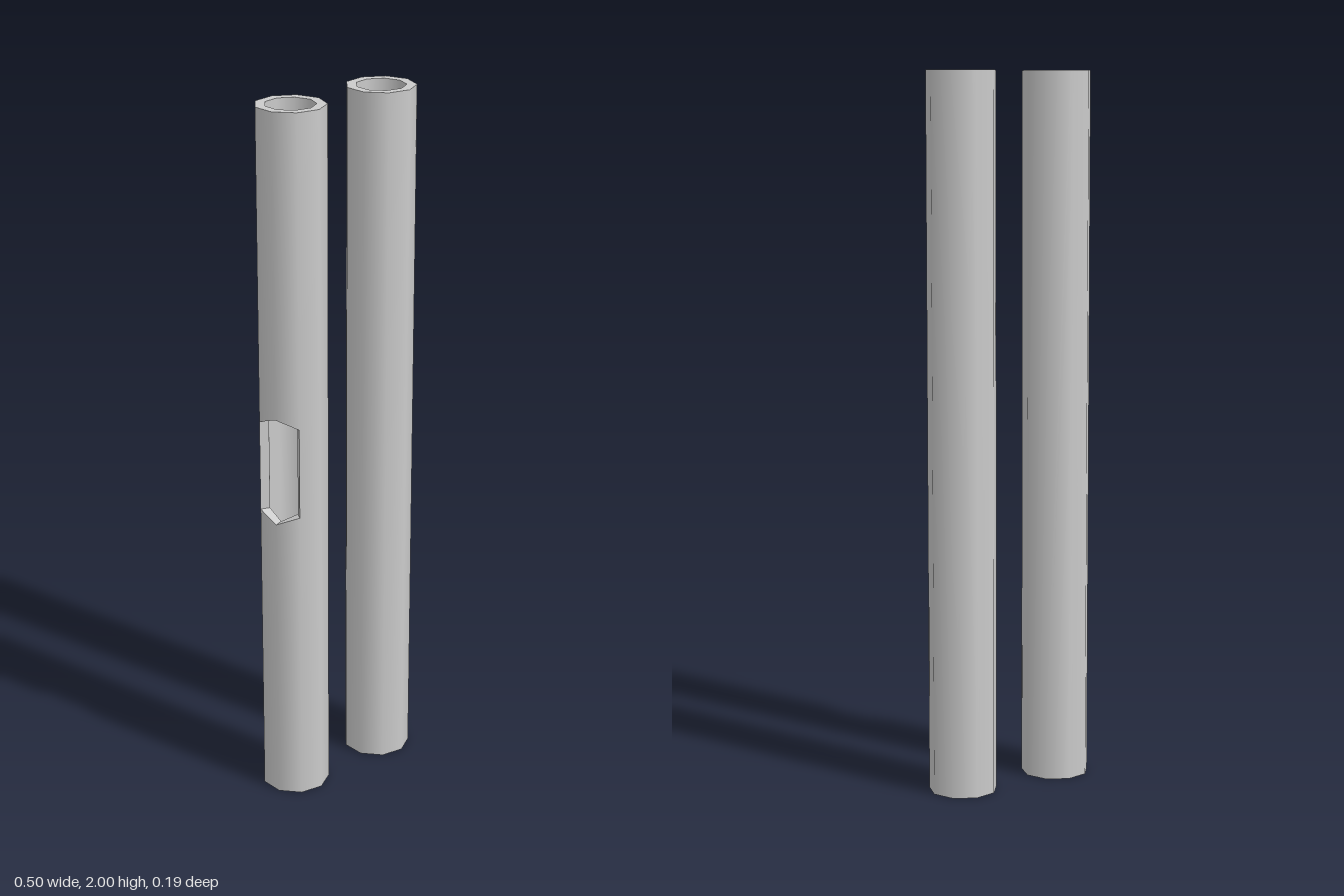
import * as THREE from 'three';

const SIDES = 9, OUTER = 0.0965, INNER = 0.069, HEIGHT = 2;

// Nine-sided pipe; an optional window is centred on one corner column.
function pipeGeometry(windowCorner = -1) {
  const pos = [], nor = [];
  const at = (r, i, y) => {
    const a = (i / SIDES) * Math.PI * 2;
    return new THREE.Vector3(r * Math.cos(a), y, r * Math.sin(a));
  };
  // smooth = 1 outward radial normals, -1 inward, 0 flat
  const quad = (corners, smooth = 0) => {
    const [a, b, c] = corners;
    const flat = b.clone().sub(a).cross(c.clone().sub(a)).normalize();
    for (const k of [0, 1, 2, 0, 2, 3]) {
      const p = corners[k];
      const n = smooth ? new THREE.Vector3(p.x, 0, p.z).normalize().multiplyScalar(smooth) : flat;
      pos.push(p.x, p.y, p.z);
      nor.push(n.x, n.y, n.z);
    }
  };
  // One wall panel from corner i to i+1, with its own bottom and top heights
  const panel = (i, lo0, lo1, hi0, hi1) => {
    const j = i + 1;
    quad([at(OUTER, j, lo1), at(OUTER, i, lo0), at(OUTER, i, hi0), at(OUTER, j, hi1)], 1);
    quad([at(INNER, i, lo0), at(INNER, j, lo1), at(INNER, j, hi1), at(INNER, i, hi0)], -1);
    quad([at(OUTER, i, hi0), at(INNER, i, hi0), at(INNER, j, hi1), at(OUTER, j, hi1)]);
    quad([at(OUTER, j, lo1), at(INNER, j, lo1), at(INNER, i, lo0), at(OUTER, i, lo0)]);
  };

  // Window half height, taller at its middle corner
  const half = (i) => (i === windowCorner ? 0.155 : 0.13);
  for (let i = 0; i < SIDES; i++) {
    const open = windowCorner >= 0 && (i === windowCorner || i + 1 === windowCorner);
    if (open) {
      const h0 = half(i), h1 = half(i + 1);
      panel(i, 0, 0, 1 - h0, 1 - h1);
      panel(i, 1 + h0, 1 + h1, HEIGHT, HEIGHT);
    } else panel(i, 0, 0, HEIGHT, HEIGHT);
  }

  // Upright sides of the window
  if (windowCorner >= 0) {
    for (const d of [-1, 1]) {
      const i = windowCorner + d, lo = 1 - half(i), hi = 1 + half(i);
      const side = [at(INNER, i, lo), at(OUTER, i, lo), at(OUTER, i, hi), at(INNER, i, hi)];
      quad(d < 0 ? side : side.reverse());
    }
  }

  const g = new THREE.BufferGeometry();
  g.setAttribute('position', new THREE.Float32BufferAttribute(pos, 3));
  g.setAttribute('normal', new THREE.Float32BufferAttribute(nor, 3));
  return g;
}

export function createModel() {
  const group = new THREE.Group();
  group.name = 'pipes';
  const material = new THREE.MeshStandardMaterial({ color: 0xcccccc });
  const addPipe = (name, x, windowCorner) => {
    const mesh = new THREE.Mesh(pipeGeometry(windowCorner), material);
    mesh.name = name;
    mesh.position.x = x;
    group.add(mesh);
  };
  addPipe('rightPipeWithWindow', -0.16, 4);
  addPipe('leftPipe', 0.155);
  return group;
}
